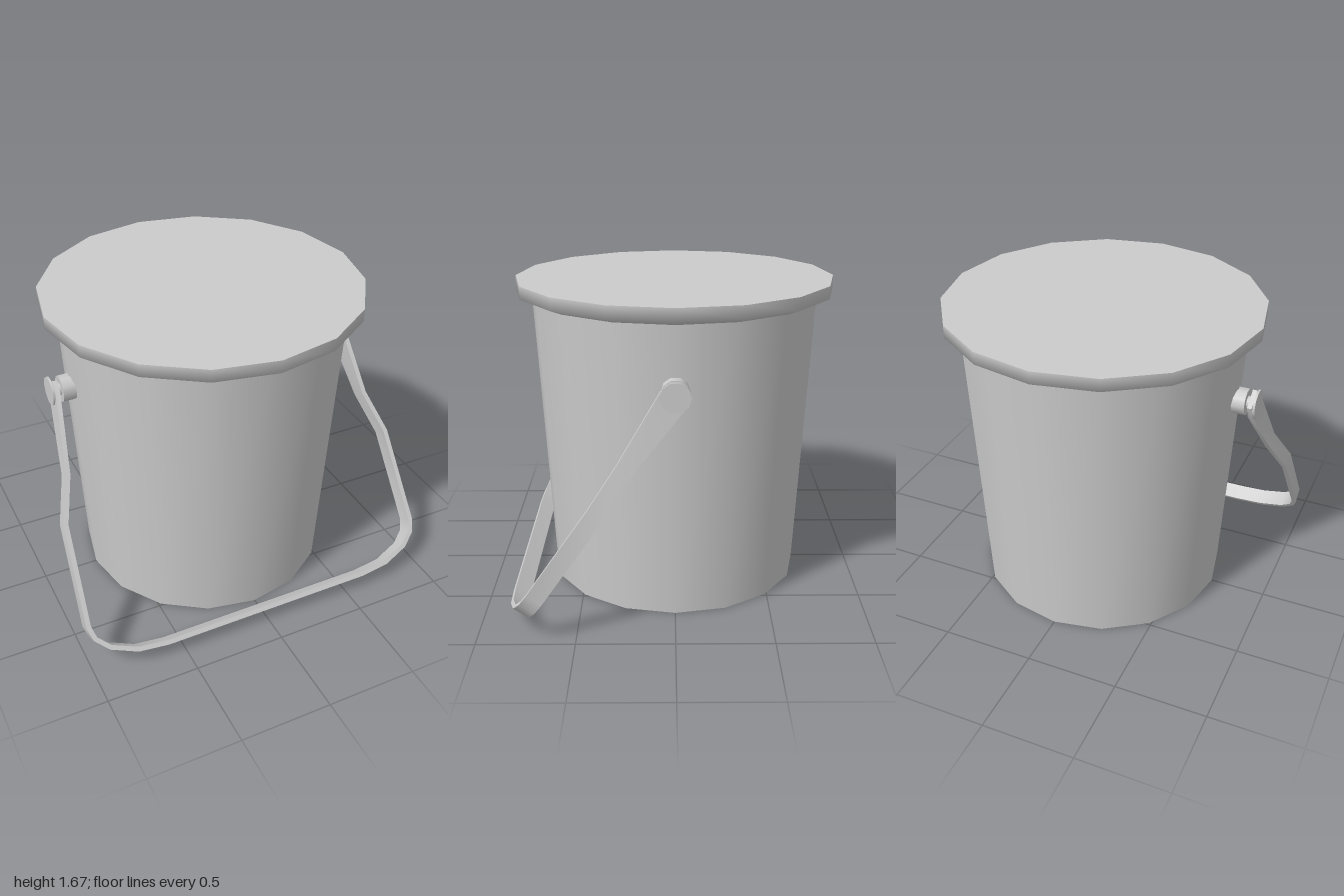
import * as THREE from 'three';
import { toCreasedNormals } from 'three/addons/utils/BufferGeometryUtils.js';

const material = new THREE.MeshStandardMaterial({ color: 0xcccccc });
const SIDES = 16;
const PIVOT_Y = 1.24;

function addMesh(parent, name, geometry) {
  const mesh = new THREE.Mesh(geometry, material);
  mesh.name = name;
  parent.add(mesh);
  return mesh;
}

// Flat band swept along a path; each station is [outer x, distance below pivot, half width].
function bandGeometry(stations, thickness) {
  const pts = stations.map(([x, s]) => new THREE.Vector2(x, -s));
  const last = pts.length - 1;
  const positions = [];
  const index = [];
  pts.forEach((p, i) => {
    const before = p.clone().sub(pts[Math.max(i - 1, 0)]).normalize();
    const after = pts[Math.min(i + 1, last)].clone().sub(p).normalize();
    const t = before.add(after).normalize();
    const ix = p.x + t.y * thickness; // inner side of the band
    const iy = p.y - t.x * thickness;
    const w = stations[i][2];
    positions.push(p.x, p.y, w, p.x, p.y, -w, ix, iy, -w, ix, iy, w);
    if (i === last) return;
    for (let k = 0; k < 4; k++) {
      const a = i * 4 + k, a1 = i * 4 + (k + 1) % 4;
      index.push(a, a + 4, a1 + 4, a, a1 + 4, a1);
    }
  });
  const e = last * 4;
  index.push(0, 1, 2, 0, 2, 3, e, e + 2, e + 1, e, e + 3, e + 2);
  const geometry = new THREE.BufferGeometry();
  geometry.setAttribute('position', new THREE.Float32BufferAttribute(positions, 3));
  geometry.setIndex(index);
  return toCreasedNormals(geometry, 0.8);
}

export function createModel() {
  const model = new THREE.Group();
  model.name = 'bucket';

  // Tapered body
  addMesh(model, 'body', new THREE.CylinderGeometry(0.775, 0.69, 1.58, SIDES)).position.y = 0.79;

  // Lid with a soft lower edge and a flat top
  const lid = new THREE.Group();
  lid.name = 'lid';
  model.add(lid);
  const rim = [[0.76, 1.572], [0.79, 1.575], [0.858, 1.602], [0.858, 1.67]];
  addMesh(lid, 'lidRim', new THREE.LatheGeometry(rim.map(([r, y]) => new THREE.Vector2(r, y)), SIDES));
  const top = addMesh(lid, 'lidTop', new THREE.CircleGeometry(0.858, SIDES));
  top.rotation.x = -Math.PI / 2;
  top.position.y = 1.67;

  // Pivot peg and outer cap on each side
  for (const side of [1, -1]) {
    const parts = [['Peg', 0.072, 0.70, 0.812], ['Pin', 0.035, 0.80, 0.865], ['Cap', 0.078, 0.858, 0.87]];
    for (const [part, radius, from, to] of parts) {
      const mesh = addMesh(model, (side > 0 ? 'left' : 'right') + part,
        new THREE.CylinderGeometry(radius, radius, to - from, 10));
      mesh.rotation.z = Math.PI / 2;
      mesh.position.set(side * (from + to) / 2, PIVOT_Y, 0);
    }
  }

  // Swinging handle, mirrored from one half and tipped forward
  const half = [
    [0.853, -0.045, 0.055], [0.856, 0.02, 0.074], [0.905, 0.435, 0.045],
    [0.98, 0.68, 0.045], [1.0, 1.22, 0.045], [0.98, 1.29, 0.045],
    [0.91, 1.36, 0.045], [0.765, 1.42, 0.045], [0.6, 1.438, 0.045],
  ];
  const mirrored = half.map(([x, s, w]) => [-x, s, w]).reverse();
  const handle = addMesh(model, 'handle', bandGeometry([...half, ...mirrored], 0.025));
  handle.position.y = PIVOT_Y;
  handle.rotation.x = -0.61;

  return model;
}
